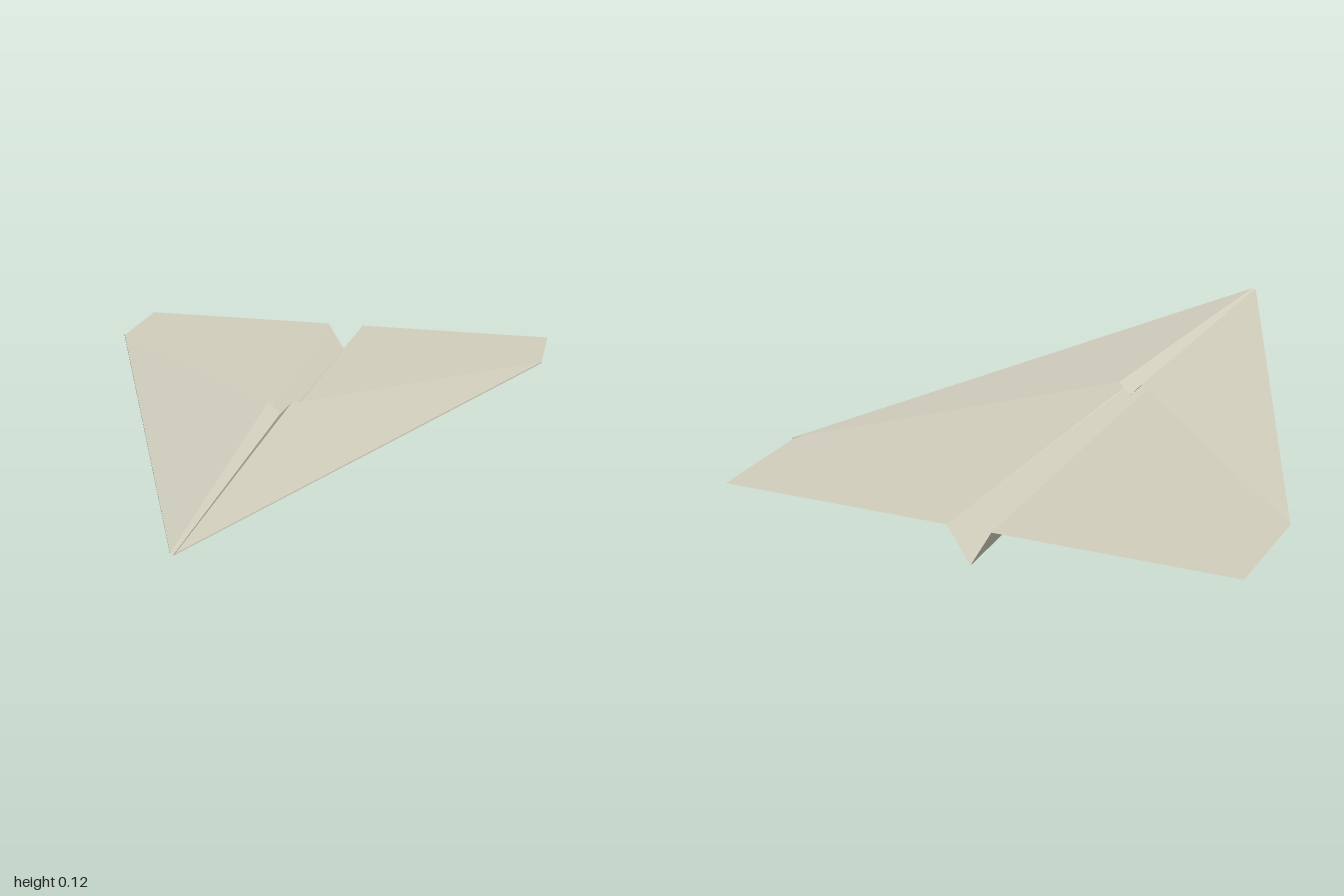
import * as THREE from 'three';

// Flat sheet through a fan of corner points, wound counter-clockwise as seen from its outer side
function sheet(name, corners, material, side) {
  const pts = corners.map(([x, y, z]) => [x * side, y, z]);
  if (side < 0) pts.reverse();
  const positions = [];
  for (let i = 1; i < pts.length - 1; i++) positions.push(...pts[0], ...pts[i], ...pts[i + 1]);
  const geometry = new THREE.BufferGeometry();
  geometry.setAttribute('position', new THREE.Float32BufferAttribute(positions, 3));
  geometry.computeVertexNormals();
  const mesh = new THREE.Mesh(geometry, material);
  mesh.name = name;
  return mesh;
}

export function createModel() {
  const paper = new THREE.MeshStandardMaterial({ color: 0xd2cfbe, side: THREE.DoubleSide });
  paper.name = 'paper';

  const model = new THREE.Group();
  model.name = 'paperPlane';

  // Shared fold points of one half (+x)
  const nose = [0.006, 0.098, 1];
  const noseTop = [0.006, 0.101, 1];
  const tipFront = [0.677, 0.096, -0.7];
  const tipTop = [0.677, 0.101, -0.7];
  const tipBack = [0.67, 0.095, -1];
  const wingRoot = [0.058, 0.095, -1];
  const keelNose = [0, 0.095, 1];
  const keelBack = [0, 0, -1];
  const flapPeak = [0.033, 0.125, -0.05];
  const flapInner = [0, 0.09, -0.05];

  for (const side of [1, -1]) {
    const half = new THREE.Group();
    half.name = side > 0 ? 'leftHalf' : 'rightHalf';
    half.add(
      sheet('wing', [nose, tipFront, tipBack, wingRoot], paper, side),
      // Sloping side of the V-shaped keel
      sheet('keelSide', [keelNose, nose, wingRoot, keelBack], paper, side),
      // Folded-over layer, raised toward the centre
      sheet('flap', [noseTop, tipTop, flapPeak], paper, side),
      sheet('flapInnerFold', [keelNose, noseTop, flapPeak, flapInner], paper, side),
      // Creased leading edge joining the wing to the flap
      sheet('leadingFold', [nose, tipFront, tipTop, noseTop], paper, side),
    );
    model.add(half);
  }
  return model;
}
